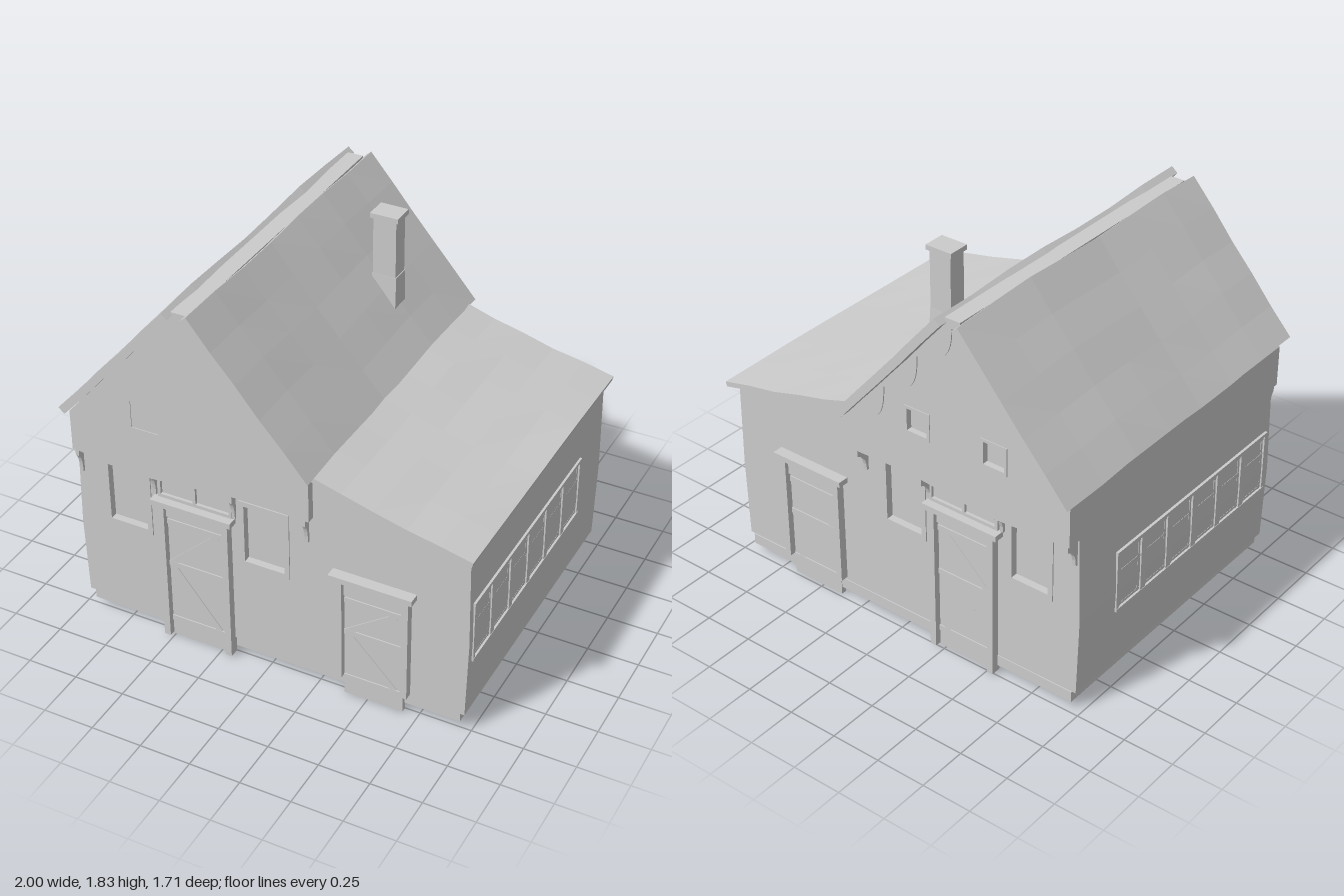
import * as THREE from 'three';

const mat = new THREE.MeshStandardMaterial({ color: 0xcccccc, flatShading: true });

function add(parent, name, geometry) {
  const mesh = new THREE.Mesh(geometry, mat);
  mesh.name = name;
  parent.add(mesh);
  return mesh;
}

// box given by its limits on each axis
function box(parent, name, x0, x1, y0, y1, z0, z1) {
  const g = new THREE.BoxGeometry(x1 - x0, y1 - y0, Math.abs(z1 - z0));
  return add(parent, name, g.translate((x0 + x1) / 2, (y0 + y1) / 2, (z0 + z1) / 2));
}

// outline in x,y with rectangular holes [x0, x1, y0, y1], extruded between two z values
function plate(parent, name, pts, z0, z1, holes = []) {
  const shape = new THREE.Shape(pts.map(p => new THREE.Vector2(...p)));
  for (const h of holes) shape.holes.push(new THREE.Path(rect(...h).map(p => new THREE.Vector2(...p)).reverse()));
  const g = new THREE.ExtrudeGeometry(shape, { depth: Math.abs(z1 - z0), bevelEnabled: false });
  return add(parent, name, g.translate(0, 0, Math.min(z0, z1)));
}

const rect = (x0, x1, y0, y1) => [[x0, y0], [x1, y0], [x1, y1], [x0, y1]];

// straight timber between two points on a wall
function brace(parent, name, a, b, width, z0, z1) {
  const len = Math.hypot(b[0] - a[0], b[1] - a[1]);
  const g = new THREE.BoxGeometry(len, width, Math.abs(z1 - z0));
  g.rotateZ(Math.atan2(b[1] - a[1], b[0] - a[0]));
  return add(parent, name, g.translate((a[0] + b[0]) / 2, (a[1] + b[1]) / 2, (z0 + z1) / 2));
}

// roof slab running from a to b (a has the smaller x), gently uneven along z
function roofSlab(parent, name, a, b, thick, z0, z1, sag, wave) {
  const g = new THREE.BoxGeometry(1, 1, 1, 5, 1, 7);
  const p = g.attributes.position;
  const dx = b[0] - a[0], dy = b[1] - a[1], len = Math.hypot(dx, dy);
  for (let i = 0; i < p.count; i++) {
    const t = p.getX(i) + 0.5, down = 0.5 - p.getY(i);
    const z = z0 + (p.getZ(i) + 0.5) * (z1 - z0);
    const bump = wave * Math.sin(z * 6.3 + 3.1 + t) - sag * Math.sin(Math.PI * t)
      + 0.003 * Math.sin(t * 17 + z * 23);
    p.setXYZ(i, a[0] + dx * t + down * thick * dy / len, a[1] + dy * t - down * thick * dx / len + bump, z);
  }
  g.computeVertexNormals();
  add(parent, name, g);
}

// plank door with posts, lintel, ledges and a K-shaped brace
function door(parent, name, o, zw, s) {
  const g = new THREE.Group();
  g.name = name;
  parent.add(g);
  const z = d => zw + s * d;
  box(g, 'doorPanel', o.x0, o.x1, 0.01, o.top, z(-0.02), z(0.008));
  for (const x of [o.x0 - 0.032, o.x1]) box(g, 'doorPost', x, x + 0.032, o.postY, o.lintel, z(-0.01), z(0.04));
  box(g, 'lintel', o.x0 - 0.06, o.x1 + 0.055, o.lintel, o.lintel + 0.028, z(-0.01), z(0.055));
  box(g, 'doorHead', o.x0, o.x1, o.top, o.lintel, z(-0.01), z(0.02));
  const mid = (o.top + 0.1) / 2 + 0.03, left = o.x0 + 0.01, right = o.x1 - 0.04;
  for (const y of [0.11, mid, o.top - 0.03]) box(g, 'ledge', o.x0, o.x1, y - 0.014, y + 0.014, z(0), z(0.014));
  brace(g, 'doorBrace', [left, mid], [right, o.top - 0.04], 0.03, z(0), z(0.013));
  brace(g, 'doorBrace', [left, mid], [right, 0.12], 0.03, z(0), z(0.013));
}

// windows, doors, brackets and gable panel of one end; s is the outward z direction
function facade(parent, name, s, zWall, zGable, wallPts, gablePts) {
  const g = new THREE.Group();
  g.name = name;
  parent.add(g);
  const z = d => zWall + s * d;
  const windows = [[-0.84, -0.595, 0.55, 0.905], [-0.14, 0.11, 0.55, 0.905]];
  plate(g, 'endWall', wallPts, z(-0.03), z(0), windows);
  for (const [x0, x1, y0, y1] of windows) {
    plate(g, 'windowFrame', rect(x0, x1, y0, y1), z(-0.03), z(0.006),
      [[x0 + 0.025, x1 - 0.025, y0 + 0.027, y1 - 0.025]]);
  }
  door(g, 'mainDoor', { x0: -0.51, x1: -0.215, top: 0.7, lintel: 0.77, postY: 0.02 }, zWall, s);
  door(g, 'sideDoor', { x0: 0.385, x1: 0.675, top: 0.58, lintel: 0.667, postY: 0.12 }, zWall, s);
  // transom light over the main door
  plate(g, 'transom', rect(-0.55, -0.17, 0.798, 0.925), z(0), z(0.015),
    [[-0.535, -0.37, 0.815, 0.905], [-0.355, -0.185, 0.815, 0.905]]);
  // curved brackets under the overhanging gable
  const depth = Math.abs(zGable - zWall);
  const bracket = new THREE.Shape();
  bracket.moveTo(-0.005, 0.8);
  bracket.lineTo(0.012, 0.8);
  bracket.quadraticCurveTo(0.012, 0.885, depth - 0.004, 0.9);
  bracket.lineTo(depth - 0.004, 0.945);
  bracket.lineTo(-0.005, 0.945);
  for (const x of [-0.955, -0.57, -0.165, 0.2]) {
    const b = new THREE.ExtrudeGeometry(bracket, { depth: 0.018, bevelEnabled: false, curveSegments: 5 });
    b.translate(0, 0, -0.009).rotateY(-s * Math.PI / 2);
    add(g, 'bracket', b.translate(x, 0, zWall));
  }
  // gable panel with small square openings
  const openings = s > 0 ? [[-0.65, -0.51, 1.155, 1.295]] : [[-0.65, -0.51, 1.155, 1.295], [-0.235, -0.095, 1.155, 1.295]];
  plate(g, 'gablePanel', gablePts, zGable - s * 0.025, zGable, openings);
  for (const [x0, x1, y0, y1] of openings) {
    if (s > 0) box(g, 'shutter', x0, x1, y0, y1, zGable - s * 0.025, zGable - s * 0.004);
    else plate(g, 'gableWindowFrame', rect(x0, x1, y0, y1), zGable - s * 0.025, zGable + s * 0.004,
      [[x0 + 0.015, x1 - 0.015, y0 + 0.015, y1 - 0.015]]);
  }
}

// strip of six panes along a side wall; s is the outward x direction
function windowStrip(parent, s) {
  const g = new THREE.Group();
  g.name = s > 0 ? 'leftWindowStrip' : 'rightWindowStrip';
  parent.add(g);
  const x = d => s * (0.972 + d);
  const slab = (name, d, y0, y1, z0, z1) =>
    box(g, name, Math.min(x(-0.01), x(d)), Math.max(x(-0.01), x(d)), y0, y1, z0, z1);
  const z0 = -0.46, z1 = 0.735, pitch = (z1 - z0) / 6;
  slab('sill', 0.018, 0.395, 0.41, z0, z1);
  slab('head', 0.018, 0.7, 0.717, z0, z1);
  for (let i = 0; i <= 6; i++) {
    const c = z0 + i * pitch;
    slab('mullion', 0.016, 0.395, 0.717, Math.max(z0, c - 0.018), Math.min(z1, c + 0.018));
    if (i === 6) break;
    for (const y of [0.42, 0.515, 0.6, 0.685]) slab('glazingBar', 0.009, y - 0.006, y + 0.006, c, c + pitch);
    for (const e of [0.03, pitch - 0.03]) slab('paneStile', 0.009, 0.41, 0.7, c + e - 0.005, c + e + 0.005);
  }
}

export function createModel() {
  const house = new THREE.Group();
  house.name = 'house';

  // plinth and walls
  box(house, 'plinth', -0.95, 0.947, 0.05, 0.105, -0.73, 0.76);
  const wallPts = [[-0.97, 0.105], [0.972, 0.105], [0.982, 0.5], [0.975, 0.97], [0.6, 1.05], [0.23, 1.145],
    [-0.2, 1.145], [-0.97, 1.0], [-0.982, 0.5]];
  const gablePts = [[-0.975, 0.935], [-0.55, 0.905], [-0.1, 0.945], [0.228, 0.935], [0.228, 1.14],
    [-0.345, 1.81], [-0.405, 1.81], [-0.975, 1.14]];
  plate(house, 'wallCore', wallPts, -0.695, 0.74);
  plate(house, 'gableCore', gablePts, -0.775, 0.785);
  facade(house, 'frontEnd', 1, 0.77, 0.81, wallPts, gablePts);
  facade(house, 'backEnd', -1, -0.725, -0.8, wallPts, gablePts);
  windowStrip(house, 1);
  windowStrip(house, -1);

  // scalloped trim on the back gable
  const trim = [[0.228, 1.14], [-0.345, 1.805]];
  for (let i = 0; i <= 30; i++) {
    const t = i / 30, d = 0.03 + 0.075 * Math.abs(Math.sin(Math.PI * 3 * t));
    trim.push([-0.345 + 0.573 * t - 0.76 * d, 1.805 - 0.665 * t - 0.65 * d]);
  }
  plate(house, 'scallopedTrim', trim, -0.806, -0.8);

  // roofs and ridge
  roofSlab(house, 'mainRoofRight', [-1.0, 1.17], [-0.435, 1.828], 0.04, -0.855, 0.855, 0.004, 0.009);
  roofSlab(house, 'mainRoofLeft', [-0.315, 1.828], [0.25, 1.17], 0.04, -0.855, 0.855, 0.004, 0.009);
  roofSlab(house, 'leanToRoof', [0.225, 1.175], [0.997, 0.985], 0.025, -0.79, 0.8, 0.012, 0.002);
  box(house, 'ridge', -0.415, -0.335, 1.77, 1.813, -0.81, 0.81);

  // chimney with a flared foot
  const chimney = new THREE.Group();
  chimney.name = 'chimney';
  house.add(chimney);
  box(chimney, 'stack', -0.03, 0.085, 1.3, 1.81, -0.4, -0.31);
  box(chimney, 'cap', -0.042, 0.098, 1.808, 1.832, -0.41, -0.3);
  const foot = new THREE.BoxGeometry(0.122, 0.28, 0.115);
  const p = foot.attributes.position;
  for (let i = 0; i < p.count; i++) if (p.getY(i) > 0) p.setZ(i, p.getZ(i) * 0.8);
  foot.computeVertexNormals();
  add(chimney, 'foot', foot.translate(0.028, 1.38, -0.355));

  return house;
}
